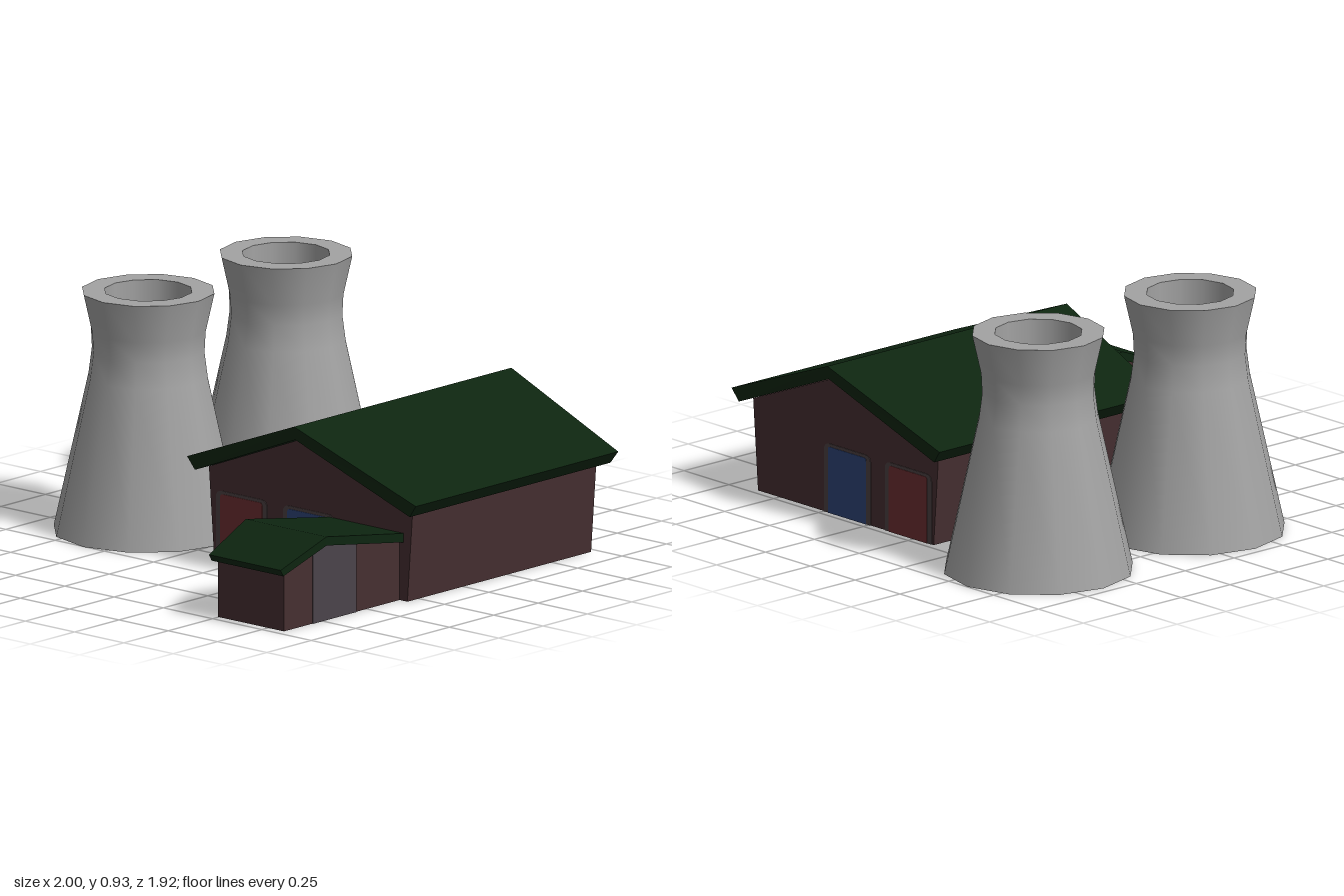
import * as THREE from 'three';

const mat = (name, color) => {
  const m = new THREE.MeshStandardMaterial({ color, side: THREE.DoubleSide });
  m.name = name;
  return m;
};

export function createModel() {
  const model = new THREE.Group();
  model.name = 'powerPlant';
  const M = {
    wall: mat('brownWall', 0x462f31), roof: mat('darkGreenRoof', 0x0d2510),
    blue: mat('blueDoor', 0x2e4477), red: mat('redDoor', 0x6c2f31),
    frame: mat('doorFrame', 0x4c4042), window: mat('greyWindow', 0x4a434a),
    concrete: mat('concrete', 0xa3a3a3), hot: mat('redGlow', 0xb82010),
    cool: mat('greenGlow', 0x11892a), dark: mat('blackSpot', 0x0c1a0c),
  };
  const add = (parent, name, geometry, material, x = 0, y = 0, z = 0) => {
    const mesh = new THREE.Mesh(geometry, material);
    mesh.name = name;
    mesh.position.set(x, y, z);
    parent.add(mesh);
    return mesh;
  };

  // Flat-shaded geometry from convex polygons
  const fromPolygons = (polygons) => {
    const pos = [];
    for (const p of polygons)
      for (let i = 1; i < p.length - 1; i++) pos.push(...p[0], ...p[i], ...p[i + 1]);
    const g = new THREE.BufferGeometry();
    g.setAttribute('position', new THREE.Float32BufferAttribute(pos, 3));
    g.computeVertexNormals();
    return g;
  };
  // Profile points are [z, y, half length along x]
  const at = (p, side) => [side * p[2], p[1], p[0]];
  const strip = (a, b) => [at(a, -1), at(a, 1), at(b, 1), at(b, -1)];

  // Open-bottomed walls with a gable at each end
  const wallGeometry = (profile, half) => {
    const pts = profile.map(([z, y]) => [z, y, half]);
    const polys = [];
    for (const i of [0, pts.length - 2]) polys.push(strip(pts[i], pts[i + 1]));
    polys.push(pts.map((p) => at(p, 1)).reverse(), pts.map((p) => at(p, -1)));
    return fromPolygons(polys);
  };

  // Bent roof slab whose ridge overhangs further than its eaves
  const roofGeometry = (outer, inner) => {
    const ring = [...outer, ...[...inner].reverse()];
    const polys = ring.map((p, i) => strip(p, ring[(i + 1) % ring.length]));
    for (let i = 0; i < 2; i++) {
      const cap = [outer[i], outer[i + 1], inner[i + 1], inner[i]];
      polys.push(cap.map((p) => at(p, 1)).reverse(), cap.map((p) => at(p, -1)));
    }
    return fromPolygons(polys);
  };

  // Thin plate centred on the wall plane, so it shows inside and out
  const plate = (shape, depth) =>
    new THREE.ExtrudeGeometry(shape, { depth, bevelEnabled: false, curveSegments: 4 })
      .translate(0, 0, -depth / 2);
  const archedShape = (w, h, r) => {
    const s = new THREE.Shape();
    s.moveTo(-w / 2, 0);
    s.lineTo(w / 2, 0);
    s.lineTo(w / 2, h - r);
    s.quadraticCurveTo(w / 2, h, w / 2 - r, h);
    s.lineTo(-w / 2 + r, h);
    s.quadraticCurveTo(-w / 2, h, -w / 2, h - r);
    s.closePath();
    return s;
  };

  // Main hall
  const hall = new THREE.Group();
  hall.name = 'mainHall';
  hall.position.set(0.203, 0, 0.38);
  model.add(hall);
  add(hall, 'hallWalls', wallGeometry(
    [[0.49, 0], [0.517, 0.357], [0, 0.56], [-0.517, 0.357], [-0.49, 0]], 0.517), M.wall);
  add(hall, 'hallRoof', roofGeometry(
    [[0.58, 0.395, 0.57], [0, 0.615, 0.612], [-0.58, 0.395, 0.57]],
    [[0.545, 0.347, 0.565], [0, 0.563, 0.605], [-0.545, 0.347, 0.565]]), M.roof);

  // A blue and a red door in each gable
  for (const side of [-1, 1]) {
    for (const [name, z, material] of [['blueDoor', -0.01, M.blue], ['redDoor', -0.35, M.red]]) {
      const frame = add(hall, name + 'Frame', plate(archedShape(0.26, 0.272, 0.03), 0.005),
        M.frame, side * 0.517, 0, z);
      const door = add(hall, name, plate(archedShape(0.212, 0.26, 0.012), 0.009),
        material, side * 0.517, 0, z);
      frame.rotation.y = door.rotation.y = Math.PI / 2;
    }
  }

  // Side annex: same construction turned so its ridge runs front to back
  const annex = new THREE.Group();
  annex.name = 'annex';
  annex.position.z = 0.663;
  annex.rotation.y = Math.PI / 2;
  model.add(annex);
  add(annex, 'annexWalls', wallGeometry(
    [[-0.312, 0], [-0.312, 0.228], [-0.767, 0.303], [-0.965, 0.233], [-0.965, 0]], 0.167), M.wall);
  add(annex, 'annexRoof', roofGeometry(
    [[-0.28, 0.257, 0.187], [-0.767, 0.337, 0.205], [-1, 0.246, 0.182]],
    [[-0.28, 0.222, 0.187], [-0.767, 0.303, 0.205], [-0.985, 0.22, 0.182]]), M.roof);

  // Tall annex windows, cut to the roof line
  const windowShape = new THREE.Shape([
    [-0.805, 0], [-0.56, 0], [-0.56, 0.266], [-0.767, 0.3], [-0.805, 0.287],
  ].map(([x, y]) => new THREE.Vector2(x, y)));
  for (const side of [-1, 1])
    add(model, 'annexWindow', plate(windowShape, 0.008), M.window, 0, 0, 0.663 + side * 0.167);

  // Cooling towers
  const SIDES = 12, HOLE = 0.168, TOP = 0.93, FLOOR = 0.6;
  const lathe = (pts) =>
    new THREE.LatheGeometry(pts.map(([r, y]) => new THREE.Vector2(r, y)), SIDES);
  const disc = (r) => new THREE.CircleGeometry(r, SIDES).rotateX(-Math.PI / 2);
  const tower = (x, glow, spots, spotMaterial) => {
    const t = new THREE.Group();
    t.name = 'coolingTower';
    t.position.set(x, 0, -0.6);
    model.add(t);
    add(t, 'towerShell', lathe(
      [[0.364, 0], [0.23, 0.6], [0.217, 0.7], [0.221, 0.78], [0.255, TOP]]), M.concrete);
    add(t, 'towerRim', new THREE.RingGeometry(HOLE, 0.255, SIDES).rotateX(-Math.PI / 2),
      M.concrete, 0, TOP, 0);
    add(t, 'towerLining', lathe([[HOLE, TOP], [HOLE, FLOOR]]), M.concrete);
    add(t, 'towerCore', disc(HOLE), glow, 0, FLOOR, 0);
    spots.forEach(([sx, sz, r], i) =>
      add(t, 'coreSpot', disc(r), spotMaterial, sx, FLOOR + 0.004 + i * 0.001, sz));
  };
  tower(-0.142, M.hot, [[0, -0.01, 0.04], [0.05, 0.012, 0.035], [0.085, -0.03, 0.014]], M.red);
  tower(0.634, M.cool, [[0.008, 0, 0.034]], M.dark);

  return model;
}
